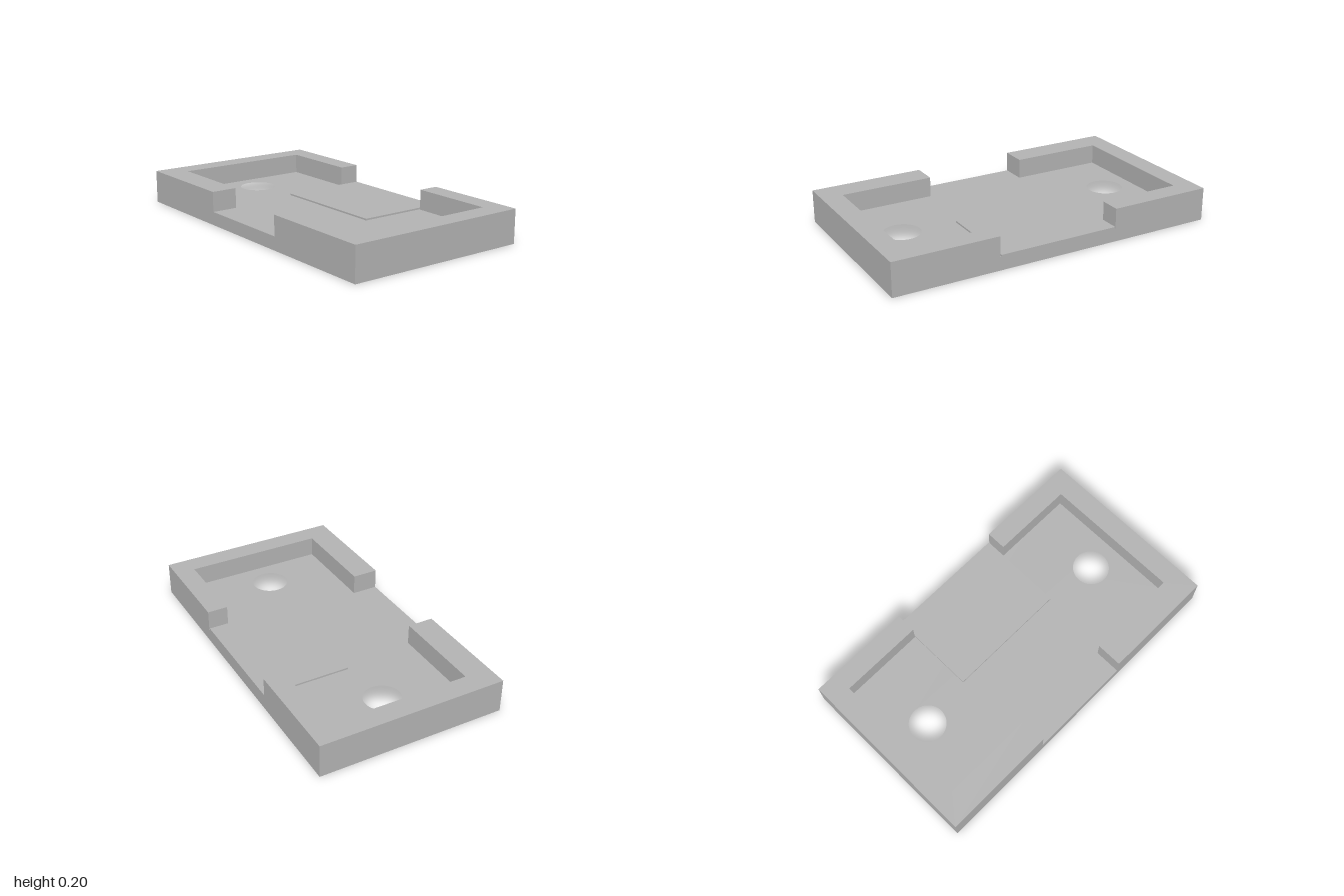
import * as THREE from 'three';

const HALF_X = 1, HALF_Z = 0.558;
const FLOOR = 0.08, PAD = 0.09, TOP = 0.2;

export function createModel() {
  const group = new THREE.Group();
  group.name = 'mountingTray';
  const grey = new THREE.MeshStandardMaterial({ color: 0xb2b2b2 });
  grey.name = 'grey';

  // Extrude a plan outline of [x, z] points from y0 up to y1
  const addSlab = (name, points, y0, y1, holes = []) => {
    const shape = new THREE.Shape(points.map(([x, z]) => new THREE.Vector2(x, -z)));
    for (const [x, z, r] of holes) {
      shape.holes.push(new THREE.Path().absarc(x, -z, r, 0, Math.PI * 2, true));
    }
    const geometry = new THREE.ExtrudeGeometry(shape, {
      depth: y1 - y0, bevelEnabled: false, curveSegments: 48,
    });
    geometry.rotateX(-Math.PI / 2);
    geometry.translate(0, y0, 0);
    const mesh = new THREE.Mesh(geometry, grey);
    mesh.name = name;
    group.add(mesh);
  };
  const rect = (x0, x1, z0, z1) => [[x0, z0], [x1, z0], [x1, z1], [x0, z1]];

  // Floor with two screw holes
  addSlab('floor', rect(-HALF_X, HALF_X, -HALF_Z, HALF_Z), 0, FLOOR,
    [[-0.687, 0, 0.109], [0.687, 0, 0.109]]);

  // Raised pad reaching the back edge
  addSlab('raisedPad', rect(-0.37, 0.365, -HALF_Z, -0.032), FLOOR, PAD);

  // C-shaped walls, leaving a narrow front gap and a wider back gap
  for (const [name, s] of [['leftWall', 1], ['rightWall', -1]]) {
    addSlab(name, [
      [0.313, HALF_Z], [HALF_X, HALF_Z], [HALF_X, -HALF_Z], [0.372, -HALF_Z],
      [0.372, -0.436], [0.873, -0.436], [0.873, 0.403], [0.313, 0.403],
    ].map(([x, z]) => [x * s, z]), FLOOR, TOP);
  }
  return group;
}
